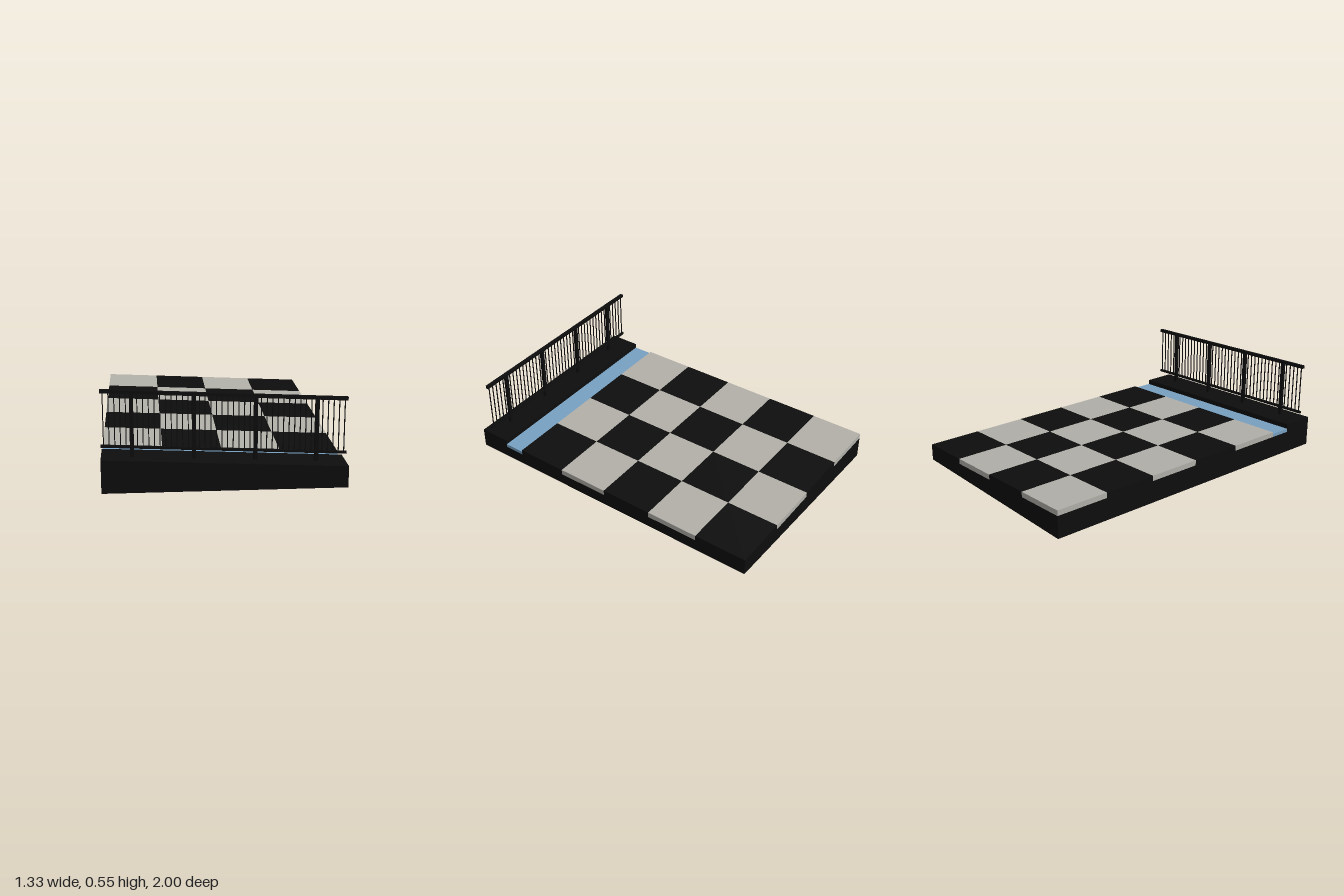
import * as THREE from 'three';

const W = 4 / 3;       // deck width
const TILE = W / 4;    // tile size
const SLOPE = -0.05;   // everything falls towards +x
const RAIL_Z = 0.917;

// Box between two heights (given at x = 0), sheared to follow the slope.
// With flatBottom the underside stays level.
function slopedBox(width, depth, bottom, top, x, z, flatBottom = false) {
  const geo = new THREE.BoxGeometry(width, top - bottom, depth);
  geo.translate(x, (top + bottom) / 2, z);
  const p = geo.attributes.position;
  const mid = (top + bottom) / 2;
  for (let i = 0; i < p.count; i++) {
    if (flatBottom && p.getY(i) < mid) continue;
    p.setY(i, p.getY(i) + SLOPE * p.getX(i));
  }
  geo.computeVertexNormals();
  return geo;
}

export function createModel() {
  const black = new THREE.MeshStandardMaterial({ color: 0x0d0d0d });
  black.name = 'black';
  const grey = new THREE.MeshStandardMaterial({ color: 0xb2b0a9 });
  grey.name = 'warmGrey';
  const blue = new THREE.MeshStandardMaterial({ color: 0x78a1c2 });
  blue.name = 'waterBlue';

  const model = new THREE.Group();
  model.name = 'pavedRamp';
  const add = (parent, name, geo, mat) => {
    const mesh = new THREE.Mesh(geo, mat);
    mesh.name = name;
    parent.add(mesh);
  };

  // Foundation under tiles and channel, and the raised kerb at the front
  add(model, 'foundation', slopedBox(W, 1.8, 0, 0.103, 0, -0.1, true), black);
  add(model, 'kerb', slopedBox(W, 0.2, 0, 0.154, 0, 0.9, true), black);

  // Water channel
  add(model, 'waterChannel', slopedBox(W, 0.8 - 2 * TILE, 0.103, 0.124, 0, 0.4 + TILE), blue);

  // Chequered paving
  const paving = new THREE.Group();
  paving.name = 'paving';
  model.add(paving);
  for (let row = 0; row < 5; row++) {
    for (let col = 0; col < 4; col++) {
      const light = (row + col) % 2 === 0;
      add(paving, light ? 'lightTile' : 'darkTile',
        slopedBox(TILE, TILE, 0.103, 0.136, (col - 1.5) * TILE, -1 + (row + 0.5) * TILE),
        light ? grey : black);
    }
  }

  // Railing: two rails, four posts and thin balusters between them
  const railing = new THREE.Group();
  railing.name = 'railing';
  model.add(railing);
  add(railing, 'handrail', slopedBox(W, 0.02, 0.502, 0.521, 0, RAIL_Z), black);
  add(railing, 'lowerRail', slopedBox(W, 0.014, 0.2, 0.214, 0, RAIL_Z), black);
  const step = W / 44;
  for (let i = 0; i < 44; i++) {
    const x = -W / 2 + (i + 0.5) * step;
    if (i % 11 === 5) add(railing, 'post', slopedBox(0.022, 0.018, 0.15, 0.505, x, RAIL_Z), black);
    else add(railing, 'baluster', slopedBox(0.005, 0.005, 0.207, 0.51, x, RAIL_Z), black);
  }
  return model;
}
